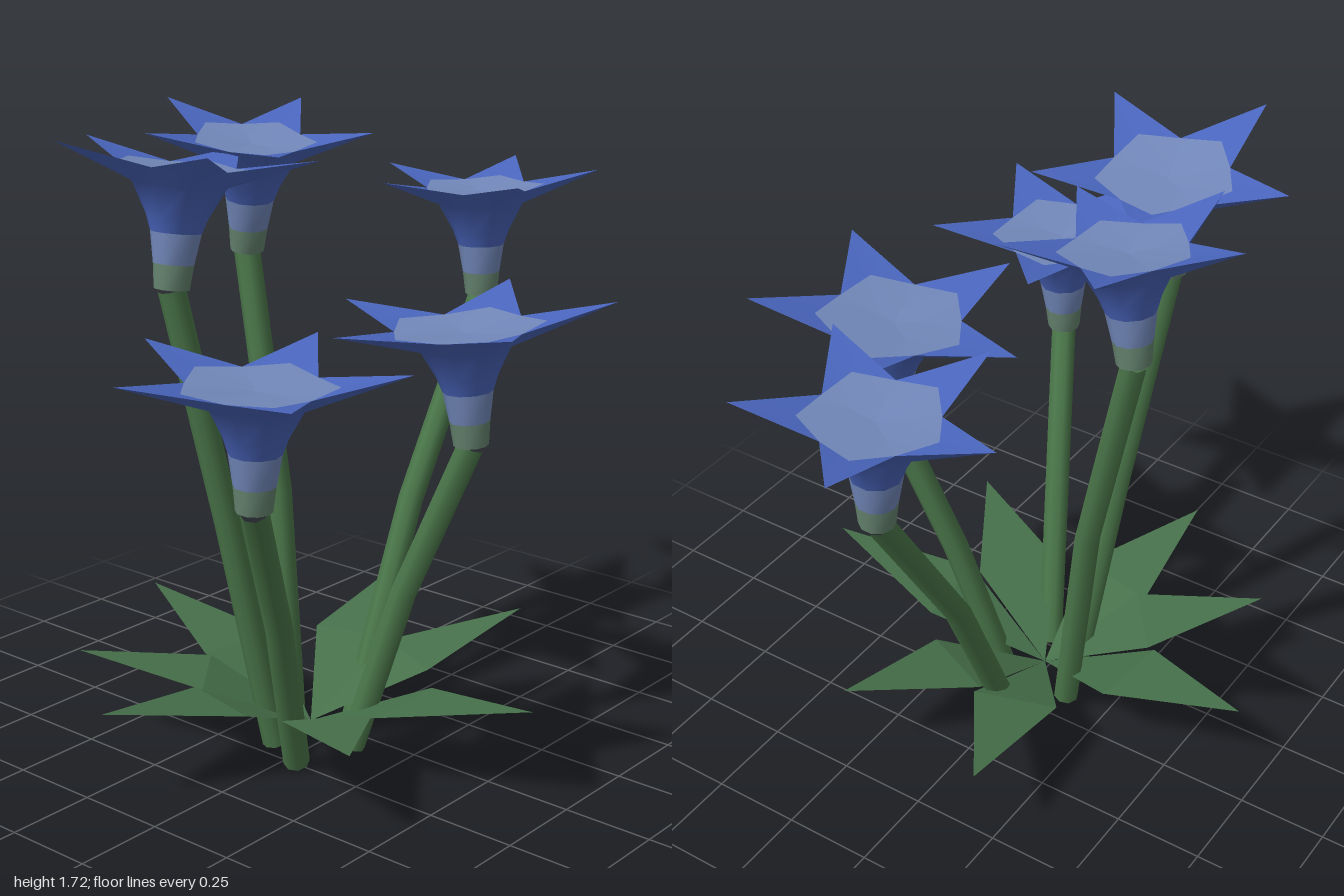
import * as THREE from 'three';

const V = (x, y, z) => new THREE.Vector3(x, y, z);
const UP = V(0, 1, 0);
const N = 10; // sides of a flower: five points and five valleys

const mat = (name, color, side = THREE.FrontSide) => {
  const m = new THREE.MeshStandardMaterial({ color, side });
  m.name = name;
  return m;
};

function add(parent, name, geometry, material) {
  const mesh = new THREE.Mesh(geometry, material);
  mesh.name = name;
  parent.add(mesh);
  return mesh;
}

// Skin over ten-sided rings, each [radius at points, y at points, radius at valleys, y at valleys]
function loft(rings) {
  const pos = [], index = [];
  rings.forEach(([r, y, rv = r, yv = y], k) => {
    for (let i = 0; i < N; i++) {
      const a = Math.PI + (i * 2 * Math.PI) / N;
      const rad = i % 2 ? rv : r;
      pos.push(rad * Math.cos(a), i % 2 ? yv : y, -rad * Math.sin(a));
      if (k === 0) continue;
      const j = (i + 1) % N, lo = (k - 1) * N, hi = k * N;
      index.push(lo + i, lo + j, hi + j, lo + i, hi + j, hi + i);
    }
  });
  const g = new THREE.BufferGeometry();
  g.setAttribute('position', new THREE.Float32BufferAttribute(pos, 3));
  g.setIndex(index);
  g.computeVertexNormals();
  return g;
}

// Trumpet-shaped flower with a five-pointed star mouth; R is the star radius
function makeFlower(R, m) {
  const flower = new THREE.Group();
  flower.name = 'flower';
  const rim = [R, 0.355, R * 0.46, 0.31];
  const mouth = [R * 0.54, 0.317, R * 0.46, 0.31];
  add(flower, 'flowerBase', loft([[0, 0], [0.046, 0]]), m.calyx);
  add(flower, 'calyx', loft([[0.046, 0], [0.053, 0.065]]), m.calyx);
  add(flower, 'tube', loft([[0.053, 0.065], [0.066, 0.145]]), m.throat);
  add(flower, 'bell', loft([[0.066, 0.145], [0.08, 0.185], [0.122, 0.265], rim]), m.petal);
  add(flower, 'petals', loft([rim, mouth]), m.petal);
  add(flower, 'throat', loft([mouth, [0, 0.297]]), m.throat);
  return flower;
}

// Bent stem through three points, closed at the foot
function makeStem(points, m) {
  const stem = new THREE.Group();
  stem.name = 'stem';
  const curve = new THREE.CatmullRomCurve3(points);
  add(stem, 'stalk', new THREE.TubeGeometry(curve, 2, 0.036, 8), m.stem);
  const foot = add(stem, 'stalkFoot', new THREE.CircleGeometry(0.036, 8), m.stem);
  foot.position.copy(points[0]);
  foot.quaternion.setFromUnitVectors(V(0, 0, 1), curve.getTangent(0).negate());
  return stem;
}

// Pointed leaf: root, two wide corners and a tip
function makeLeaf(root, tip) {
  const mid = root.clone().lerp(tip, 0.45).setY(0.2);
  const side = tip.clone().sub(root).cross(UP).setLength(0.12);
  const a = mid.clone().add(side), b = mid.clone().sub(side);
  const g = new THREE.BufferGeometry().setFromPoints([root, a, b, a, tip, b]);
  g.computeVertexNormals();
  return g;
}

export function createModel() {
  const model = new THREE.Group();
  model.name = 'flowerClump';
  const m = {
    stem: mat('stemGreen', 0x4a7649),
    leaf: mat('leafGreen', 0x46704a, THREE.DoubleSide),
    calyx: mat('calyxGreyGreen', 0x65836f),
    throat: mat('paleBlue', 0x7288ba),
    petal: mat('petalBlue', 0x4a66be),
  };

  // Each plant: stem foot, bend and top, star radius, slope of the flower along x and z
  const plants = [
    { path: [[-0.02, 0.01, -0.07], [-0.035, 0.65, -0.37], [-0.05, 1.125, -0.68]], R: 0.335, tilt: [0.03, 0] },
    { path: [[0.1, 0.01, 0.085], [0.24, 0.54, 0], [0.39, 0.9, -0.045]], R: 0.39, tilt: [0.07, -0.03] },
    { path: [[0.05, 0.01, 0.26], [0.145, 0.52, 0.44], [0.255, 0.87, 0.638]], R: 0.37, tilt: [-0.03, 0.01] },
    { path: [[-0.075, 0.01, 0.205], [-0.14, 0.73, 0.33], [-0.2, 1.31, 0.44]], R: 0.348, tilt: [0, 0.14] },
    { path: [[-0.12, 0.01, 0.08], [-0.22, 0.75, 0.03], [-0.355, 1.32, -0.01]], R: 0.322, tilt: [-0.13, -0.05] },
  ];
  for (const { path, R, tilt } of plants) {
    const points = path.map((p) => V(...p));
    model.add(makeStem(points, m));
    const flower = makeFlower(R, m);
    flower.position.copy(points[2]);
    flower.quaternion.setFromUnitVectors(UP, V(-tilt[0], 1, -tilt[1]).normalize());
    model.add(flower);
  }

  // Rosette of leaves around the foot
  const root = V(-0.02, 0.06, 0.12);
  const tips = [
    [-0.24, 0.285, -0.57], [0.25, 0.275, -0.49], [-0.7, 0.275, 0.04], [0.69, 0.28, 0.08],
    [-0.52, 0.26, 0.51], [0.47, 0.26, 0.54], [-0.16, 0.265, 0.77],
  ];
  for (const t of tips) add(model, 'leaf', makeLeaf(root, V(...t)), m.leaf);

  return model;
}
